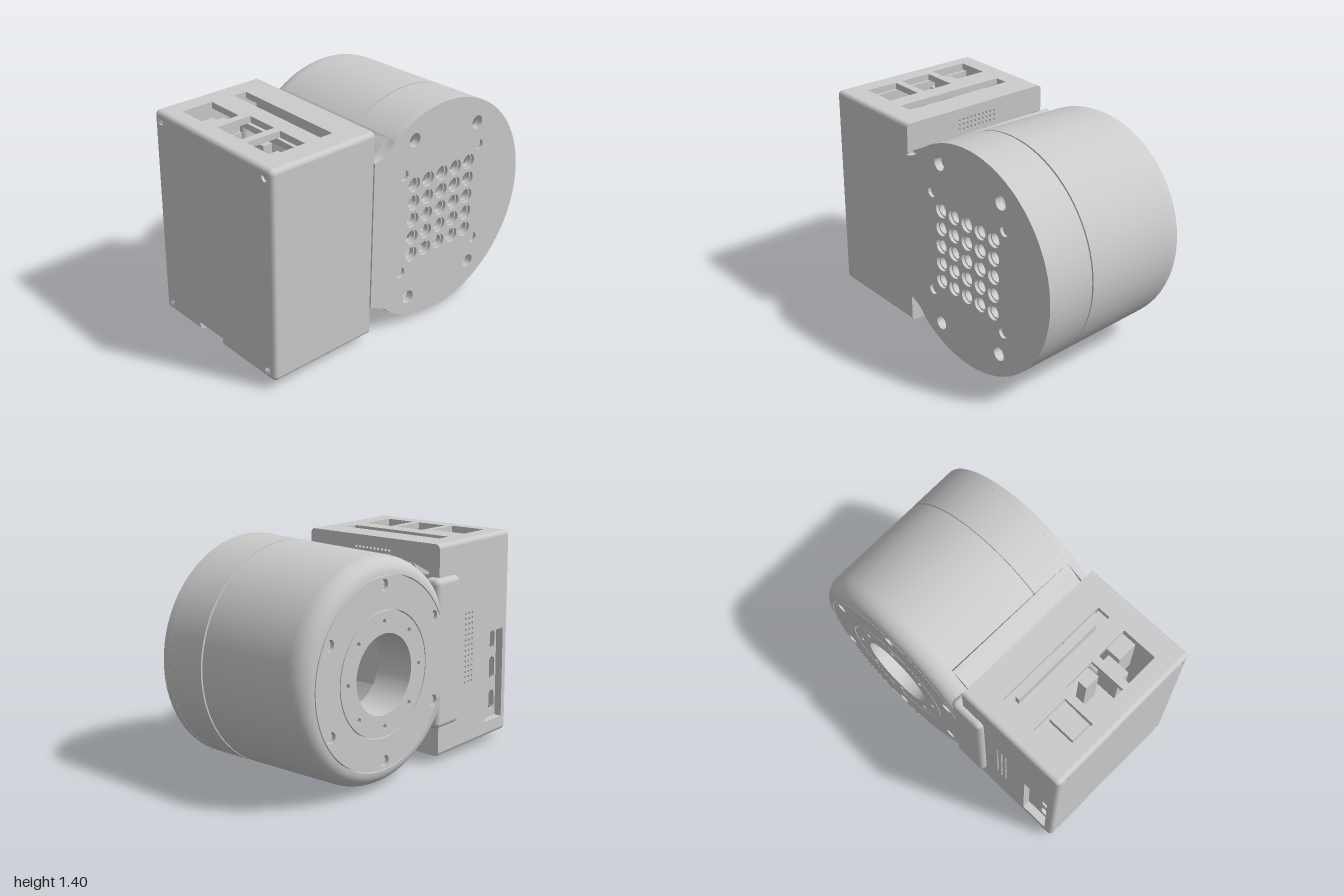
import * as THREE from 'three';
import { toCreasedNormals } from 'three/addons/utils/BufferGeometryUtils.js';
import { RoundedBoxGeometry } from 'three/addons/geometries/RoundedBoxGeometry.js';

const mat = new THREE.MeshStandardMaterial({ color: 0xcccccc, side: THREE.DoubleSide });

// hole outlines
const circ = (x, y, r) => new THREE.Path().absarc(x, y, r, 0, Math.PI * 2, true);
const poly = pts => new THREE.Path(pts.map(p => new THREE.Vector2(...p)));
const rect = (x0, y0, x1, y1) => poly([[x0, y0], [x0, y1], [x1, y1], [x1, y0]]);
const slot = (x, y, w, h) => { // upright rounded slot
  const r = w / 2, d = h / 2 - r;
  return new THREE.Path().absarc(x, y + d, r, 0, Math.PI, false).absarc(x, y - d, r, Math.PI, Math.PI * 2, false);
};
const ring = (n, r, hole, a0 = Math.PI / 2) => Array.from({ length: n }, (_, i) => {
  const a = a0 + i * Math.PI * 2 / n;
  return circ(r * Math.cos(a), r * Math.sin(a), hole);
});
const dots = (cx, cy, nx, ny, step) => {
  const out = [];
  for (let i = 0; i < nx; i++) for (let j = 0; j < ny; j++)
    out.push(new THREE.Path(circ(cx + (i - (nx - 1) / 2) * step, cy + (j - (ny - 1) / 2) * step, 0.009).getPoints(4)));
  return out;
};

export function createModel() {
  const model = new THREE.Group();
  const body = new THREE.Group(); // origin on the drum axis, slightly tilted
  body.name = 'body';
  body.position.set(0.3, 0.7, 0);
  body.rotation.z = -0.0175;
  model.add(body);

  const add = (name, geo, x = 0, y = 0, z = 0) => {
    const m = new THREE.Mesh(geo, mat);
    m.name = name;
    m.position.set(x, y, z);
    body.add(m);
    return m;
  };
  const extrude = (shape, holes, depth, curveSegments = 12) => {
    const s = shape.clone();
    s.holes.push(...holes);
    return toCreasedNormals(new THREE.ExtrudeGeometry(s, { depth, bevelEnabled: false, curveSegments }), 0.5);
  };
  const block = (name, x0, x1, y0, y1, z0, z1) =>
    add(name, new THREE.BoxGeometry(x1 - x0, y1 - y0, z1 - z0), (x0 + x1) / 2, (y0 + y1) / 2, (z0 + z1) / 2);
  const rod = (name, r, len, x, y, z) => add(name, new THREE.CylinderGeometry(r, r, len, 20).rotateX(Math.PI / 2), x, y, z);

  // drum shell: tapered wall, seam groove, rounded back edge, inner ledge
  const prof = [[0.24, -0.52], [0.575, -0.52], [0.575, -0.55]];
  for (let i = 1; i <= 8; i++) {
    const a = i / 8 * Math.PI / 2;
    prof.push([0.575 + 0.1 * Math.sin(a), -0.43 - 0.12 * Math.cos(a)]);
  }
  prof.push([0.691, 0.218], [0.68, 0.218], [0.68, 0.23], [0.692, 0.23], [0.699, 0.5],
    [0.64, 0.5], [0.62, -0.46], [0.27, -0.46], [0.27, -0.3], [0.24, -0.3], [0.24, -0.52]);
  const drum = new THREE.LatheGeometry(prof.map(p => new THREE.Vector2(...p)), 96).rotateX(Math.PI / 2);
  add('drumShell', toCreasedNormals(drum, 0.4));

  // front plate with neck outline; the holes step down to a smaller bore
  const A = 2.18;
  const plate = new THREE.Shape();
  plate.moveTo(-0.56, -0.48).lineTo(-0.54, -0.48).quadraticCurveTo(-0.47, -0.49, -0.401, -0.574);
  plate.absarc(0, 0, 0.7, -A, A, false);
  plate.quadraticCurveTo(-0.47, 0.49, -0.54, 0.48).lineTo(-0.56, 0.48);
  const big = [[-0.245, 0.528], [0.288, 0.483], [-0.245, -0.528], [0.288, -0.483]];
  const grid = r => Array.from({ length: 25 }, (_, i) => circ((i % 5 - 2) * 0.117, (Math.floor(i / 5) - 2) * 0.117 + 0.004, r));
  const bigHoles = big.map(p => circ(...p, 0.043));
  const mounts = [-1, 1].flatMap(i => [-1, 1].map(j => circ(i * 0.32, j * 0.325, 0.033)));
  add('frontPlate', extrude(plate, [...grid(0.048), ...bigHoles, ...mounts], 0.02, 24), 0, 0, 0.53);
  add('frontPlateInner', extrude(plate, [...grid(0.039), ...bigHoles], 0.03, 24), 0, 0, 0.5);

  // neck joining drum and case
  const neck = new THREE.Shape();
  neck.moveTo(-0.58, -0.48).lineTo(-0.54, -0.48).quadraticCurveTo(-0.47, -0.49, -0.401, -0.574);
  neck.absarc(0, 0, 0.66, -A, A - Math.PI * 2, true);
  neck.lineTo(-0.401, 0.574).quadraticCurveTo(-0.47, 0.49, -0.54, 0.48).lineTo(-0.58, 0.48);
  add('neck', extrude(neck, [], 0.93, 24), 0, 0, -0.43);
  add('neckTab', new RoundedBoxGeometry(0.23, 0.93, 0.12, 4, 0.035), -0.605, 0, -0.49);

  // back rings, bolts and inner rods
  const disc = r => new THREE.Shape().absarc(0, 0, r, 0, Math.PI * 2, false);
  add('backRing', extrude(disc(0.568), [circ(0, 0, 0.377), ...ring(6, 0.52, 0.034)], 0.03, 48), 0, 0, -0.55);
  add('bearingRing', extrude(disc(0.37), [circ(0, 0, 0.24), ...ring(8, 0.31, 0.015)], 0.03, 48), 0, 0, -0.55);
  for (let i = 0; i < 6; i++) {
    const a = (i + 0.5) * Math.PI / 3;
    rod('backBolt', 0.022, 0.02, 0.52 * Math.cos(a), 0.52 * Math.sin(a), -0.525);
  }
  big.forEach(([x, y]) => rod('innerRod', 0.05, 0.86, x, y, -0.04));

  // case: six wall panels inset by the edge radius
  const X0 = -1.287, X1 = -0.557, Y = 0.665, Z0 = -0.51, Z1 = 0.54, R = 0.03;
  const panel = (name, pts, holes, t, pos, rot) => {
    const shape = new THREE.Shape(pts.map(p => new THREE.Vector2(...p)));
    const m = add(name, extrude(shape, holes, t), ...pos);
    m.rotation.set(...rot);
    return m;
  };
  const box = (x0, y0, x1, y1) => [[x0, y0], [x1, y0], [x1, y1], [x0, y1]];
  const flat = [0, 0, 0], lid = [Math.PI / 2, 0, 0], side = [0, -Math.PI / 2, 0];
  panel('caseFront', box(X0 + R, -Y + R, X1, Y - R), [], 0.03, [0, 0, Z1 - 0.03], flat);
  panel('caseBack', box(X0 + R, -Y + R, X1, Y - R),
    [rect(-1.23, -0.565, -1.045, 0.035), ...dots(-0.86, -0.025, 3, 14, 0.034)], 0.05, [0, 0, Z0], flat);
  panel('portRecess', box(-1.25, -0.6, -1.02, 0.06),
    [slot(-1.185, -0.045, 0.05, 0.12), slot(-1.185, -0.235, 0.06, 0.15), slot(-1.185, -0.45, 0.06, 0.13)],
    0.02, [0, 0, Z0 + 0.05], flat);
  panel('caseTop', box(X0 + R, Z0 + R, X1, Z1 - R), [
    rect(-1.182, -0.38, -0.975, -0.13), rect(-1.162, -0.08, -0.932, 0.13),
    rect(-1.162, 0.18, -0.932, 0.39), rect(-0.822, -0.37, -0.735, 0.39)], 0.04, [0, Y, 0], lid);
  panel('caseBottom', [[X0 + R, Z0 + R], [X1, Z0 + R], [X1, Z1 - R], [X0 + R, Z1 - R],
    [X0 + R, 0.06], [X0 + 0.09, 0.06], [X0 + 0.09, -0.16], [X0 + R, -0.16]], [
    circ(-0.92, 0.16, 0.09), circ(-0.92, -0.08, 0.09),
    slot(-1.14, 0.24, 0.07, 0.2), circ(-1.13, 0, 0.035)], 0.04, [0, -Y + 0.04, 0], lid);
  const screws = [-0.45, 0.48].flatMap(z => [-0.61, 0.61].map(y => [z, y]));
  panel('sidePanel', [[Z0 + R, -Y + R], [-0.16, -Y + R], [-0.16, -0.61], [0.06, -0.61], [0.06, -Y + R],
    [Z1 - R, -Y + R], [Z1 - R, Y - R], [Z0 + R, Y - R]],
    screws.map(p => circ(...p, 0.023)), 0.03, [X0 + 0.03, 0, 0], side);
  panel('caseInnerSide', box(Z0 + R, -Y + R, Z1 - R, Y - R),
    [...dots(0.015, 0.56, 10, 3, 0.03), ...dots(0.015, -0.56, 10, 3, 0.03)], 0.03, [X1, 0, 0], side);
  screws.forEach(([z, y]) => {
    add('caseScrew', new THREE.CylinderGeometry(0.022, 0.022, 0.06, 16).rotateZ(Math.PI / 2), X0 + 0.045, y, z);
  });

  // rounded case edges and corners
  const edge = (axis, len, x, y, z) => {
    const g = new THREE.CylinderGeometry(R, R, len, 20);
    if (axis === 'x') g.rotateZ(Math.PI / 2);
    if (axis === 'z') g.rotateX(Math.PI / 2);
    add('caseEdge', g, x, y, z);
  };
  const xe = X0 + R, ye = Y - R, za = Z0 + R, zb = Z1 - R;
  for (const z of [za, zb]) {
    edge('y', 2 * ye, xe, 0, z);
    for (const y of [-ye, ye]) {
      edge('x', X1 - xe, (X1 + xe) / 2, y, z);
      add('caseCorner', new THREE.SphereGeometry(R, 20, 14), xe, y, z);
    }
  }
  edge('z', zb - za, xe, ye, (za + zb) / 2);
  edge('z', -0.16 - za, xe, -ye, (za - 0.16) / 2); // split around the cable notch
  edge('z', zb - 0.06, xe, -ye, (zb + 0.06) / 2);

  // circuit board and connectors behind the openings
  block('circuitBoard', -1.215, -1.195, -0.58, 0.6, -0.42, 0.44);
  block('networkPort', -1.195, -0.965, 0.25, 0.56, -0.39, -0.12);
  block('networkPortStep', -1.16, -0.985, 0.56, 0.61, -0.26, -0.13);
  block('dataPort', -1.0, -0.94, 0.25, 0.57, 0.02, 0.12);
  block('dataPort', -1.02, -0.92, 0.25, 0.58, 0.27, 0.4);
  block('dataPort', -1.1, -0.95, 0.25, 0.55, 0.18, 0.26);
  block('slotFloor', -0.84, -0.72, 0.5, 0.54, -0.4, 0.42);
  block('slotRail', -0.79, -0.765, 0.54, 0.62, -0.3, 0.32);

  return model;
}
